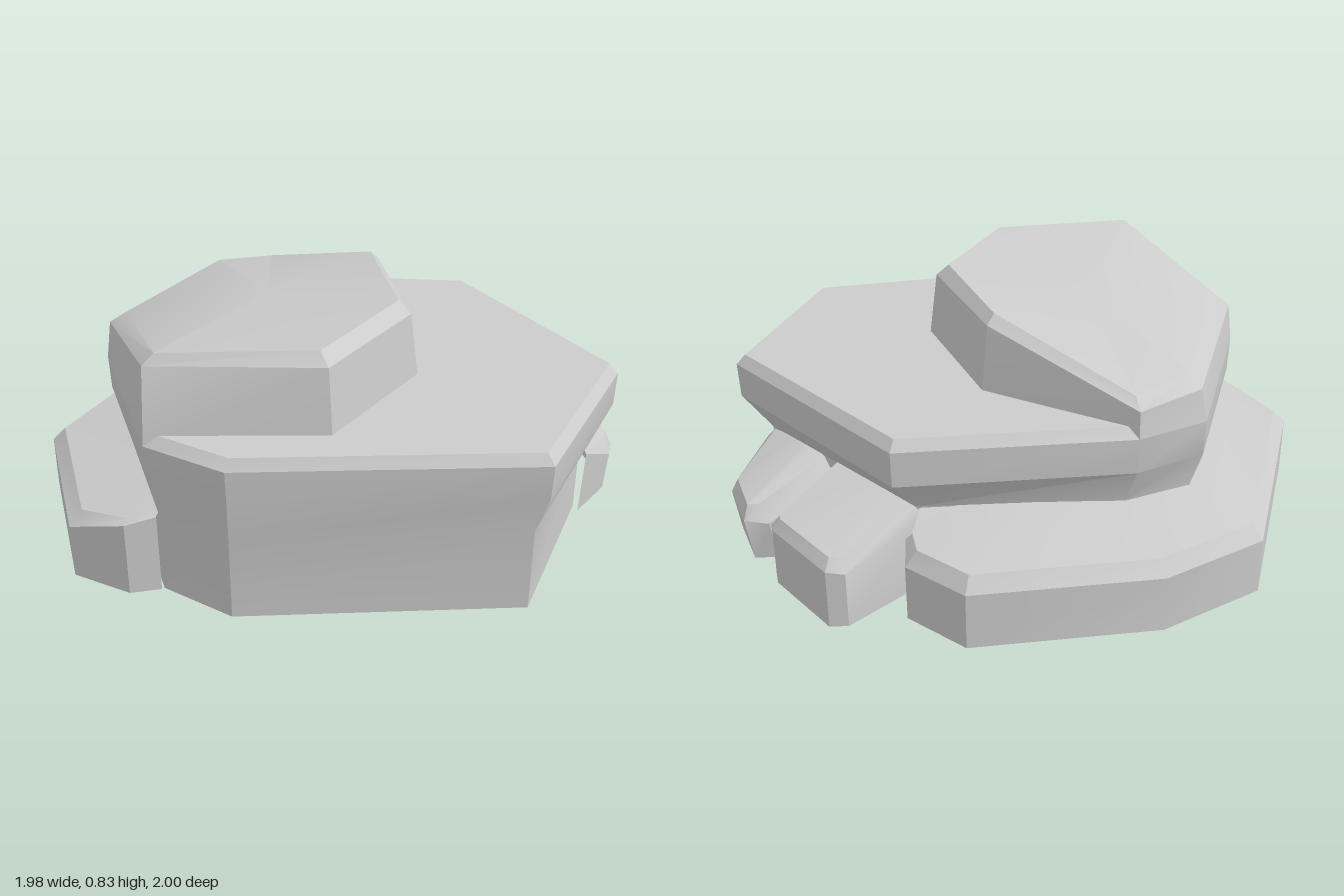
import * as THREE from 'three';
import { toCreasedNormals } from 'three/addons/utils/BufferGeometryUtils.js';

const material = new THREE.MeshStandardMaterial({ color: 0xcccccc, side: THREE.DoubleSide });

// Skins a stack of rings (bottom to top); open strips skip the closing side, cap fans the top.
function rock(name, rings, closed) {
  const pos = [];
  const tri = (a, b, c) => pos.push(...a, ...b, ...c);
  const n = rings[0].length;
  const sides = closed ? n : n - 1;
  for (let r = 0; r < rings.length - 1; r++) {
    for (let i = 0; i < sides; i++) {
      const j = (i + 1) % n;
      const [a, b, c, d] = [rings[r][i], rings[r][j], rings[r + 1][j], rings[r + 1][i]];
      tri(a, d, b);
      tri(b, d, c);
    }
  }
  if (closed) {
    const top = rings[rings.length - 1];
    const mid = [0, 1, 2].map(k => top.reduce((s, p) => s + p[k], 0) / n);
    top.forEach((p, i) => tri(p, mid, top[(i + 1) % n]));
  }
  const geo = new THREE.BufferGeometry();
  geo.setAttribute('position', new THREE.Float32BufferAttribute(pos, 3));
  const mesh = new THREE.Mesh(toCreasedNormals(geo, 0.5), material);
  mesh.name = name;
  return mesh;
}

// Level ring from [x, z] pairs, optionally shrunk toward a centre
const level = (pts, y, s = 1, cx = 0.1, cz = 0) =>
  pts.map(([x, z]) => [cx + (x - cx) * s, y, cz + (z - cz) * s]);

export function createModel() {
  const group = new THREE.Group();

  // Broad flat-topped rock with an undercut foot
  const foot = [[-0.1, -0.66], [0.66, -0.57], [0.94, -0.01], [0.37, 0.73],
    [0.11, 0.81], [-0.48, 0.57], [-0.71, -0.01], [-0.6, -0.22]];
  const brow = [[-0.12, -0.78], [0.73, -0.645], [0.985, -0.02], [0.38, 0.74],
    [0.1, 0.84], [-0.5, 0.6], [-0.76, -0.02], [-0.66, -0.25]];
  group.add(rock('mainRock', [
    level(foot, 0), level(foot, 0.29), level(brow, 0.42, 0.995), level(brow, 0.54),
    level(brow, 0.575, 0.965),
  ], true));

  // Tall rock on top, sloping down toward one side
  group.add(rock('tallRock', [
    level([[-0.66, -0.25], [-0.11, -0.34], [0.345, -0.08], [0.47, 0.4],
      [0.1, 0.84], [-0.5, 0.6], [-0.76, -0.02]], 0.54),
    [[-0.655, 0.63, -0.245], [-0.11, 0.79, -0.305], [0.32, 0.79, -0.06], [0.44, 0.79, 0.39],
      [0.07, 0.79, 0.805], [-0.49, 0.67, 0.585], [-0.735, 0.645, -0.02]],
    [[-0.62, 0.665, -0.22], [-0.11, 0.822, -0.27], [0.28, 0.83, -0.04], [0.395, 0.83, 0.385],
      [0.08, 0.825, 0.765], [-0.455, 0.705, 0.54], [-0.68, 0.682, -0.01]],
  ], true));

  // Low ledge wrapping the side
  const ledge = [[0.11, 0.82], [0.06, 0.91], [-0.14, 0.995], [-0.67, 0.76],
    [-0.99, -0.02], [-0.86, -0.38], [-0.44, -0.82], [-0.2, -0.82], [-0.13, -0.74]];
  const ledgeRim = [0.28, 0.26, 0.19, 0.19, 0.19, 0.19, 0.19, 0.19, 0.22];
  group.add(rock('lowLedge', [
    level(ledge, 0),
    ledge.map(([x, z], i) => [x, ledgeRim[i], z]),
    [[0.105, 0.285, 0.815], [0.05, 0.27, 0.88], [-0.14, 0.235, 0.945], [-0.64, 0.237, 0.725],
      [-0.95, 0.237, -0.02], [-0.825, 0.237, -0.36], [-0.425, 0.24, -0.785],
      [-0.22, 0.24, -0.785], [-0.15, 0.245, -0.73]],
    [[0.1, 0.29, 0.79], [0.04, 0.29, 0.77], [-0.1, 0.29, 0.71], [-0.47, 0.29, 0.56],
      [-0.7, 0.29, -0.01], [-0.59, 0.29, -0.21], [-0.36, 0.295, -0.42],
      [-0.2, 0.295, -0.55], [-0.1, 0.295, -0.63]],
  ], false));

  // Two small stones peeking out behind
  group.add(rock('backStone', [
    level([[-0.12, -0.64], [-0.085, -0.96], [-0.04, -1], [0.26, -0.94], [0.3, -0.91], [0.32, -0.6]], 0),
    [[-0.12, 0.26, -0.64], [-0.085, 0.19, -0.96], [-0.04, 0.2, -1], [0.26, 0.2, -0.94],
      [0.3, 0.19, -0.91], [0.32, 0.26, -0.6]],
    [[-0.1, 0.3, -0.64], [-0.055, 0.235, -0.95], [-0.03, 0.235, -0.97], [0.25, 0.235, -0.915],
      [0.265, 0.235, -0.9], [0.29, 0.3, -0.6]],
    [[-0.08, 0.305, -0.62], [0, 0.305, -0.62], [0.05, 0.305, -0.62], [0.15, 0.305, -0.6],
      [0.2, 0.305, -0.6], [0.28, 0.305, -0.58]],
  ], false));
  group.add(rock('backSmallStone', [
    level([[0.31, -0.6], [0.37, -0.84], [0.43, -0.89], [0.61, -0.79], [0.65, -0.75], [0.69, -0.56]], 0),
    [[0.32, 0.24, -0.6], [0.375, 0.14, -0.86], [0.44, 0.15, -0.91], [0.62, 0.15, -0.81],
      [0.655, 0.14, -0.76], [0.7, 0.24, -0.56]],
    [[0.36, 0.29, -0.59], [0.42, 0.2, -0.86], [0.445, 0.2, -0.885], [0.6, 0.2, -0.795],
      [0.615, 0.2, -0.77], [0.65, 0.29, -0.56]],
    [[0.38, 0.3, -0.58], [0.43, 0.3, -0.58], [0.47, 0.3, -0.58], [0.54, 0.3, -0.57],
      [0.58, 0.3, -0.56], [0.63, 0.3, -0.55]],
  ], false));

  return group;
}
